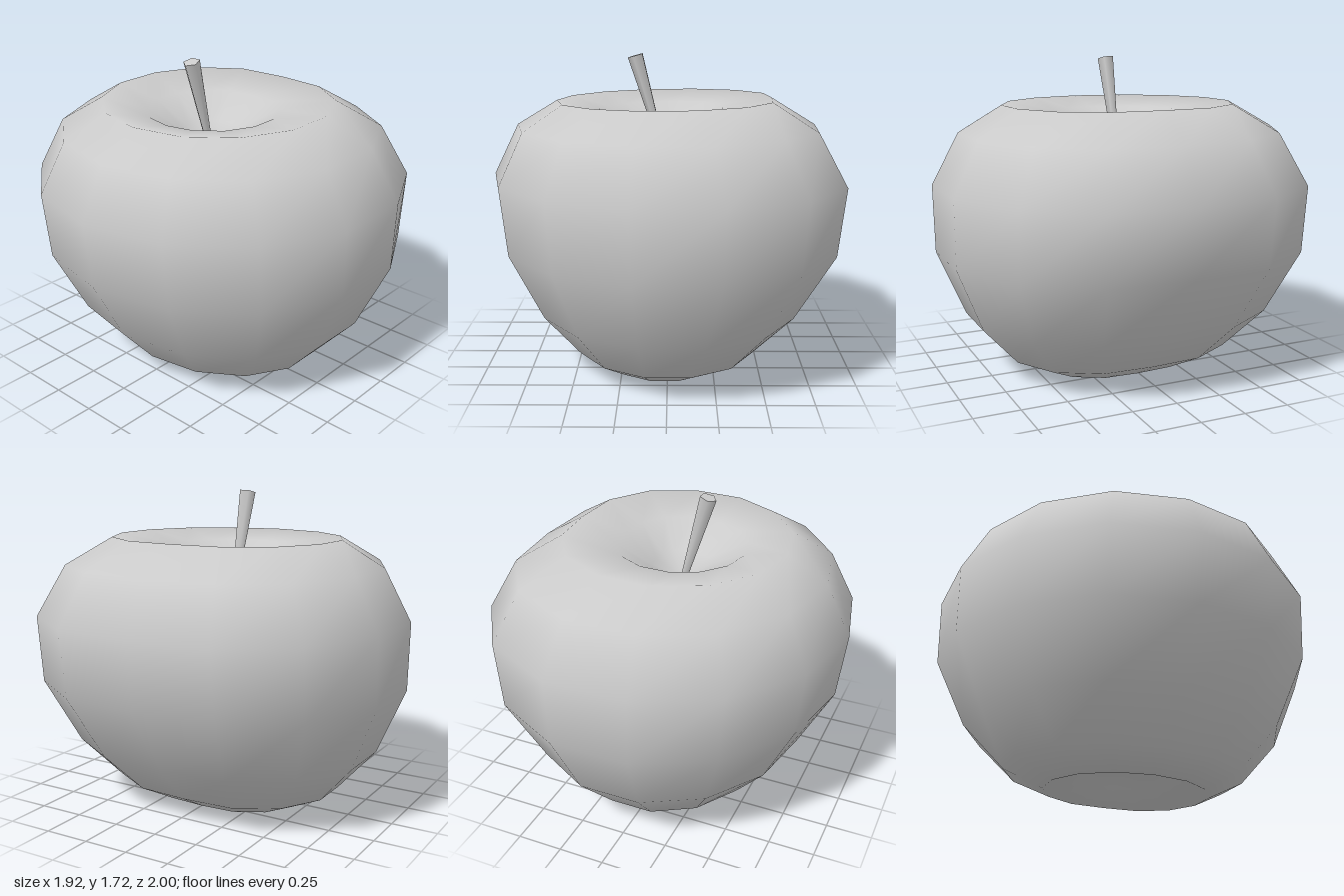
import * as THREE from 'three';
import { mergeVertices } from 'three/addons/utils/BufferGeometryUtils.js';

const SIDES = 14;

// Rings from the bottom dimple to the top one: [y, left x, right x, z radius]
const RINGS = [
  [0.13, -0.02, -0.02, 0],
  [0.08, -0.22, 0.16, 0.22],
  [0, -0.37, 0.3, 0.45],
  [0.1, -0.53, 0.48, 0.655],
  [0.33, -0.73, 0.7, 0.865],
  [0.69, -0.92, 0.915, 1.02],
  [1.055, -0.965, 0.96, 1.025],
  [1.33, -0.83, 0.81, 0.875],
  [1.47, -0.61, 0.57, 0.636],
  [1.42, -0.38, 0.3, 0.36],
  [1.3, -0.19, 0.13, 0.17],
  [1.21, -0.03, -0.03, 0],
];

// Cross-section x for half a turn, a little flattened towards +x
const SECTION = [1, 0.965, 0.715, 0.29, -0.178, -0.605, -0.9, -1];

function fruitGeometry() {
  const positions = [];
  const indices = [];
  for (const [y, left, right, rz] of RINGS) {
    for (let i = 0; i < SIDES; i++) {
      const s = SECTION[Math.min(i, SIDES - i)];
      const x = (left + right) / 2 + s * (right - left) / 2;
      const z = Math.sin((i / SIDES) * Math.PI * 2) * rz;
      const tilt = y > 1.4 ? 0.012 * x : 0; // the rim leans slightly
      positions.push(x, y + tilt, z);
    }
  }
  const last = RINGS.length - 2;
  for (let j = 0; j <= last; j++) {
    for (let i = 0; i < SIDES; i++) {
      const k = (i + 1) % SIDES;
      const a = j * SIDES + i, b = j * SIDES + k;
      const c = a + SIDES, d = b + SIDES;
      if (j > 0) indices.push(a, c, b);
      if (j < last) indices.push(b, c, d);
      else indices[indices.length - 2] = c; // close the fan at the top point
    }
  }
  const geometry = new THREE.BufferGeometry();
  geometry.setAttribute('position', new THREE.Float32BufferAttribute(positions, 3));
  geometry.setIndex(indices);
  const merged = mergeVertices(geometry);
  merged.computeVertexNormals();
  return merged;
}

export function createModel() {
  const group = new THREE.Group();
  group.name = 'apple';
  const material = new THREE.MeshStandardMaterial({ color: 0xcccccc });

  // Smooth-shaded body with a dimple at each end
  const fruit = new THREE.Mesh(fruitGeometry(), material);
  fruit.name = 'fruit';
  group.add(fruit);

  // Five-sided stem, widening towards its cut end
  const bottom = new THREE.Vector3(-0.03, 1.19, -0.015);
  const top = new THREE.Vector3(-0.175, 1.705, -0.015);
  const axis = top.clone().sub(bottom);
  const stem = new THREE.Mesh(
    new THREE.CylinderGeometry(0.046, 0.016, axis.length(), 5, 1, false, -Math.PI / 2),
    material
  );
  stem.name = 'stem';
  stem.position.copy(bottom).lerp(top, 0.5);
  stem.rotation.z = Math.atan2(-axis.x, axis.y);
  group.add(stem);

  return group;
}
